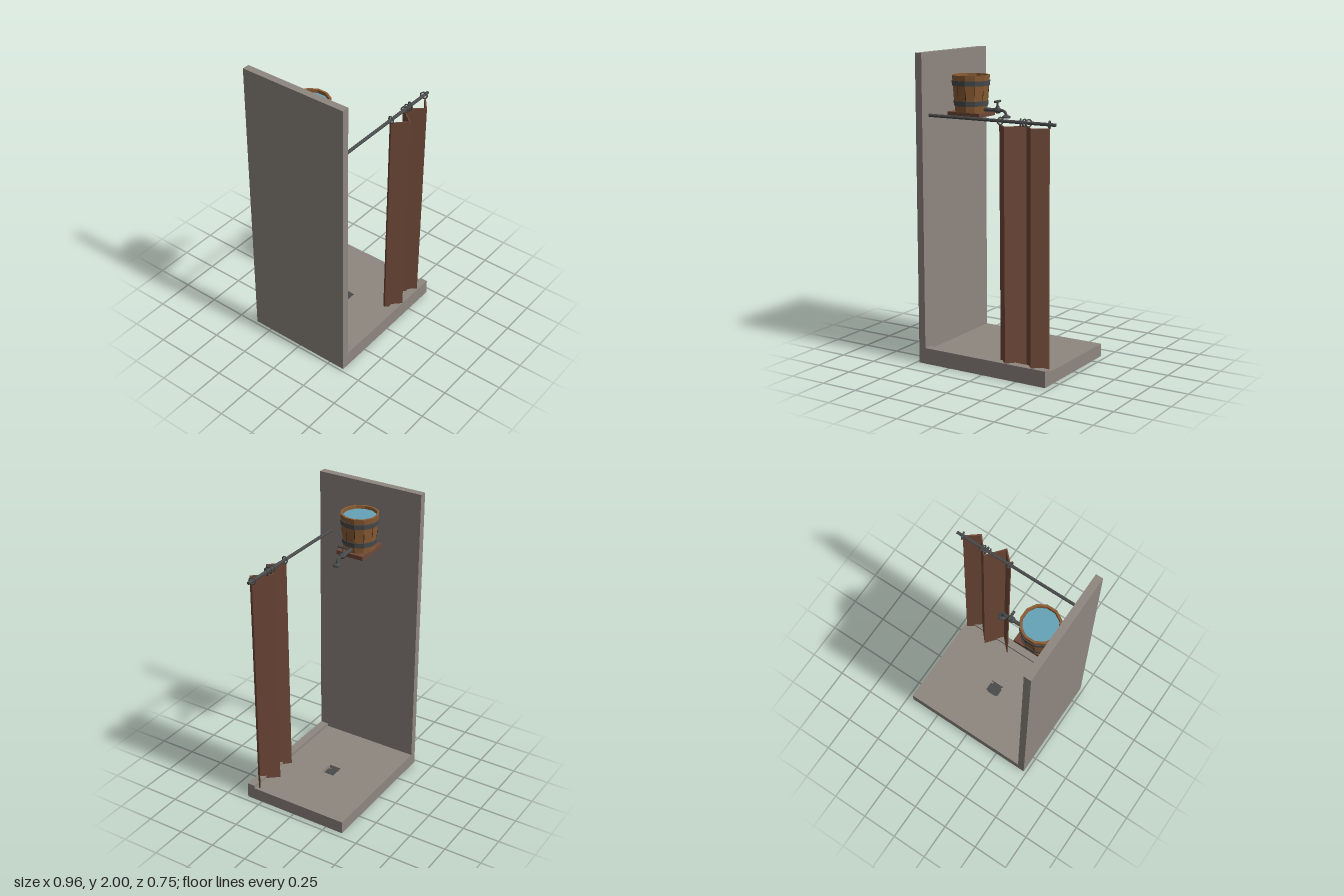
import * as THREE from 'three';

const mat = (name, color, opts = {}) => {
  const m = new THREE.MeshStandardMaterial({ color, ...opts });
  m.name = name;
  return m;
};

export function createModel() {
  const root = new THREE.Group();
  root.name = 'barrelShower';
  const stone = mat('stone', 0x8f8780);
  const wood = mat('barrelWood', 0x8a5c34);
  const brown = mat('curtainBrown', 0x6e4838);
  const iron = mat('iron', 0x4a4b4c, { flatShading: true });
  const dark = mat('seamDark', 0x3b2818);
  const water = mat('water', 0x66a3b8);

  const add = (name, geo, material, parent = root) => {
    const m = new THREE.Mesh(geo, material);
    m.name = name;
    parent.add(m);
    return m;
  };
  // box given by its limits on each axis
  const box = (name, x0, x1, y0, y1, z0, z1, material) =>
    add(name, new THREE.BoxGeometry(x1 - x0, y1 - y0, z1 - z0)
      .translate((x0 + x1) / 2, (y0 + y1) / 2, (z0 + z1) / 2), material);
  // cylinder between two points
  const rod = (name, a, b, r0, r1, sides, material, parent = root) => {
    const p = new THREE.Vector3(...a), q = new THREE.Vector3(...b);
    const m = add(name, new THREE.CylinderGeometry(r1, r0, p.distanceTo(q), sides), material, parent);
    m.position.copy(p).add(q).multiplyScalar(0.5);
    m.quaternion.setFromUnitVectors(new THREE.Vector3(0, 1, 0), q.sub(p).normalize());
    return m;
  };

  // Stone wall, floor with a sunken drain, front curb
  box('wall', -0.48, -0.432, 0, 2, -0.373, 0.362, stone);
  box('floorBase', -0.432, 0.461, 0, 0.06, -0.373, 0.362, stone);
  box('curb', -0.432, 0.461, 0.06, 0.105, 0.308, 0.362, stone);
  const rect = (P, x0, x1, y0, y1) => {
    const p = new P();
    p.moveTo(x0, y0); p.lineTo(x1, y0); p.lineTo(x1, y1); p.lineTo(x0, y1); p.closePath();
    return p;
  };
  const slab = rect(THREE.Shape, -0.432, 0.461, -0.308, 0.373);
  slab.holes.push(rect(THREE.Path, -0.035, 0.061, -0.035, 0.051));
  add('floor', new THREE.ExtrudeGeometry(slab, { depth: 0.025, bevelEnabled: false })
    .rotateX(-Math.PI / 2).translate(0, 0.06, 0), stone);
  // drain cover with stepped corners
  box('drainCover', -0.035, 0.061, 0.06, 0.064, -0.037, 0.021, iron);
  box('drainCoverCross', -0.021, 0.047, 0.06, 0.0645, -0.051, 0.035, iron);

  // Shelf under the barrel
  box('shelf', -0.434, -0.192, 1.583, 1.61, -0.104, 0.085, brown);

  // Twelve-sided barrel
  const barrel = new THREE.Group();
  barrel.name = 'barrel';
  barrel.position.set(-0.312, 0, -0.01);
  root.add(barrel);
  const N = 12, Y0 = 1.61, Y1 = 1.845;
  const apothem = y => 0.1 + 0.02 * (y - Y0) / (Y1 - Y0);
  const wedge = (y0, y1, outset, thick, k) => {
    const g = new THREE.BoxGeometry(1, 1, 1), p = g.attributes.position;
    for (let i = 0; i < p.count; i++) {
      const y = p.getY(i) < 0 ? y0 : y1;
      const r = apothem(y) + outset - (p.getZ(i) < 0 ? thick : 0);
      p.setXYZ(i, Math.sign(p.getX(i)) * r * Math.tan(Math.PI / N), y, r);
    }
    g.computeVertexNormals();
    return g.rotateY(k * 2 * Math.PI / N);
  };
  for (let k = 0; k < N; k++) {
    add('stave', wedge(Y0, Y1, 0, 0.014, k), wood, barrel);
    add('lowerHoop', wedge(1.65, 1.682, 0.005, 0.006, k), iron, barrel);
    add('upperHoop', wedge(1.779, 1.811, 0.005, 0.006, k), iron, barrel);
    // short dark cracks at the seams, staggered in height
    const y = 1.715 + 0.03 * (k % 2), a = (k + 0.5) * 2 * Math.PI / N;
    const crack = add('seam', new THREE.BoxGeometry(0.004, 0.065, 0.003), dark, barrel);
    const r = apothem(y) / Math.cos(Math.PI / N) - 0.0008;
    crack.position.set(Math.sin(a) * r, y, Math.cos(a) * r);
    crack.rotation.set(0.085, a, 0, 'YXZ');
  }
  const disc = (name, y, h, r, m) => add(name,
    new THREE.CylinderGeometry(r, r, h, N).rotateY(Math.PI / N).translate(0, y, 0), m, barrel);
  disc('barrelBottom', 1.615, 0.008, 0.095, wood);
  disc('waterSurface', 1.822, 0.006, 0.109, water);

  // Tap: pipe, valve body, handle and curved spout
  const tap = new THREE.Group();
  tap.name = 'tap';
  tap.position.z = -0.01;
  root.add(tap);
  rod('pipe', [-0.215, 1.629, 0], [-0.085, 1.629, 0], 0.013, 0.011, 8, iron, tap);
  rod('pipeCollar', [-0.135, 1.629, 0], [-0.12, 1.629, 0], 0.013, 0.021, 8, iron, tap);
  rod('valveBody', [-0.12, 1.629, 0], [-0.102, 1.629, 0], 0.021, 0.021, 8, iron, tap);
  rod('valveTaper', [-0.102, 1.629, 0], [-0.086, 1.629, 0], 0.021, 0.01, 8, iron, tap);
  rod('valveCap', [-0.112, 1.64, 0], [-0.112, 1.658, 0], 0.014, 0.01, 8, iron, tap);
  rod('stem', [-0.112, 1.65, 0], [-0.112, 1.682, 0], 0.006, 0.006, 8, iron, tap);
  rod('handle', [-0.112, 1.685, -0.032], [-0.112, 1.685, 0.032], 0.008, 0.008, 8, iron, tap);
  const bend = new THREE.CatmullRomCurve3([[-0.092, 1.629], [-0.07, 1.628], [-0.054, 1.617], [-0.048, 1.598]]
    .map(([x, y]) => new THREE.Vector3(x, y, 0)));
  add('spout', new THREE.TubeGeometry(bend, 8, 0.009, 8), iron, tap);
  rod('sprayNeck', [-0.048, 1.603, 0], [-0.048, 1.594, 0], 0.01, 0.027, 8, iron, tap);
  rod('sprayHead', [-0.048, 1.594, 0], [-0.048, 1.583, 0], 0.027, 0.027, 8, iron, tap);

  // Curtain rail and rings
  rod('rail', [-0.434, 1.607, 0.283], [0.479, 1.607, 0.283], 0.0105, 0.0105, 8, iron);
  for (const [x, dx] of [[0.093, -0.015], [0.236, 0.028], [0.263, 0], [0.292, -0.025], [0.437, 0.015]]) {
    const ring = add('curtainRing', new THREE.TorusGeometry(0.022, 0.005, 6, 12), iron);
    ring.position.set(x, 1.606, 0.283);
    ring.rotation.y = Math.atan2(-0.05, dx);
  }

  // Folded curtain, leaning back slightly towards the floor
  const folds = [[0.088, 0.277], [0.173, 0.361], [0.263, 0.25], [0.354, 0.354], [0.44, 0.286]];
  const h = 0.006;
  const outline = [...folds.map(([x, z]) => [x, z + h]), ...folds.map(([x, z]) => [x, z - h]).reverse()];
  const cloth = new THREE.ExtrudeGeometry(
    new THREE.Shape(outline.map(([x, z]) => new THREE.Vector2(x, -z))),
    { depth: 1.5, bevelEnabled: false }).rotateX(-Math.PI / 2).translate(0, 0.086, 0);
  const p = cloth.attributes.position;
  for (let i = 0; i < p.count; i++) p.setZ(i, p.getZ(i) + 0.005 - 0.012 * (1.586 - p.getY(i)) / 1.5);
  cloth.computeVertexNormals();
  add('curtain', cloth, brown);

  return root;
}
